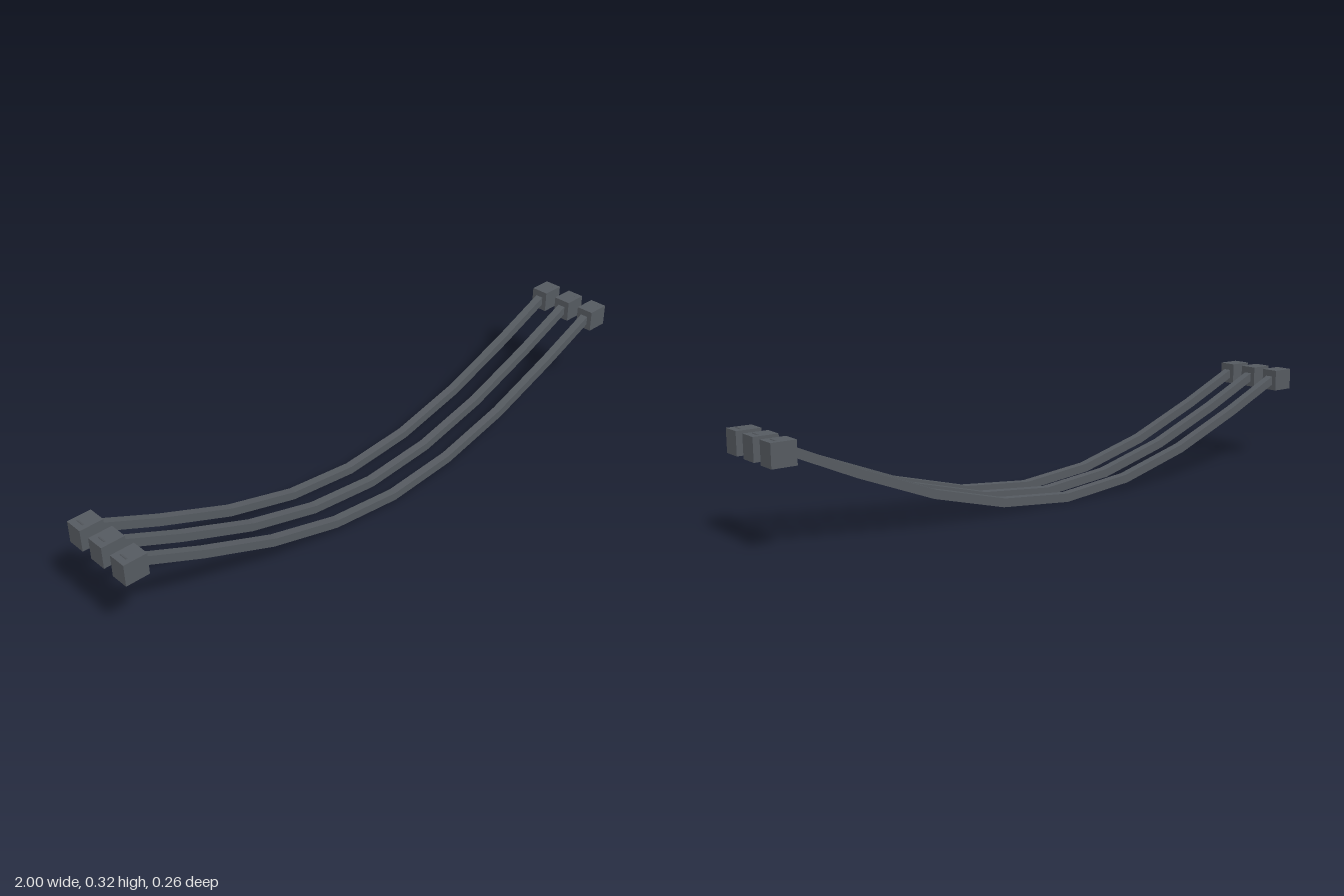
import * as THREE from 'three';

const steel = new THREE.MeshStandardMaterial({ color: 0x555a60 });
steel.name = 'darkGrey';

const HALF = 0.0133; // half thickness of the square cable

// Centre line of a sagging cable, mirrored about x = 0
function cablePath() {
  const half = [[0.245, 0.037], [0.49, 0.102], [0.735, 0.199], [0.985, 0.311]];
  const left = half.map(([x, y]) => [-x, y]).reverse();
  return [...left, [0, HALF], ...half].map(([x, y]) => new THREE.Vector2(x, y));
}

// Square section swept along the path with mitred joints
function cableGeometry() {
  const path = cablePath();
  const upper = [], lower = [];
  path.forEach((p, i) => {
    const before = path[Math.max(i - 1, 0)], after = path[Math.min(i + 1, path.length - 1)];
    const t = after.clone().sub(before).normalize();
    const n = new THREE.Vector2(-t.y, t.x).multiplyScalar(HALF);
    upper.push(p.clone().add(n));
    lower.push(p.clone().sub(n));
  });
  const outline = new THREE.Shape([...lower, ...upper.reverse()]);
  const geometry = new THREE.ExtrudeGeometry(outline, { depth: HALF * 2, bevelEnabled: false });
  return geometry.translate(0, 0, -HALF);
}

export function createModel() {
  const model = new THREE.Group();
  model.name = 'hangingCables';
  const cableGeo = cableGeometry();
  const blockGeo = new THREE.BoxGeometry(0.075, 0.069, 0.059);

  [-0.099, 0, 0.099].forEach((z) => {
    const strand = new THREE.Group();
    strand.name = 'strand';
    strand.position.z = z;

    const cable = new THREE.Mesh(cableGeo, steel);
    cable.name = 'cable';
    strand.add(cable);

    // End blocks
    for (const side of [-1, 1]) {
      const block = new THREE.Mesh(blockGeo, steel);
      block.name = side > 0 ? 'leftEndBlock' : 'rightEndBlock';
      block.position.set(side * 0.9625, 0.286, 0);
      strand.add(block);
    }
    model.add(strand);
  });
  return model;
}
